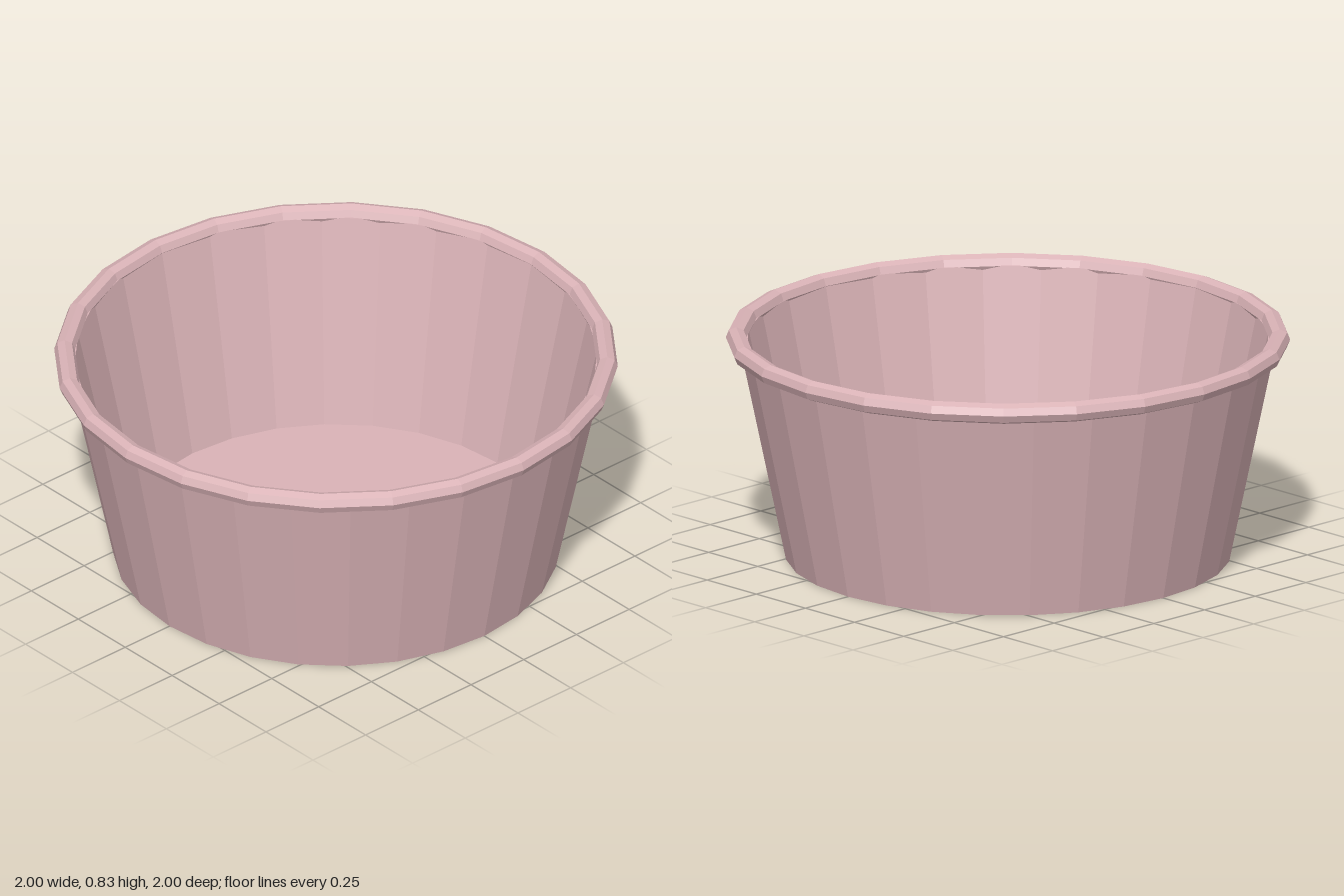
import * as THREE from 'three';

export function createModel() {
  const group = new THREE.Group();
  group.name = 'bowl';
  const pink = new THREE.MeshStandardMaterial({ color: 0xdab3b7 });
  pink.name = 'dusty pink';
  pink.flatShading = true;

  // Tapered cup: underside, outer wall, lip, inner wall, inner floor
  const profile = [
    [0, 0], [0.79, 0], [0.955, 0.795], [0.927, 0.795], [0.765, 0.03], [0, 0.03],
  ].map(([r, y]) => new THREE.Vector2(r, y));
  const body = new THREE.Mesh(new THREE.LatheGeometry(profile, 28), pink);
  body.name = 'body';
  group.add(body);

  // Rolled rim, eight-sided in section
  const rim = new THREE.Mesh(new THREE.TorusGeometry(0.963, 0.037, 8, 24), pink);
  rim.name = 'rim';
  rim.rotation.x = -Math.PI / 2;
  rim.position.y = 0.794;
  group.add(rim);

  return group;
}
